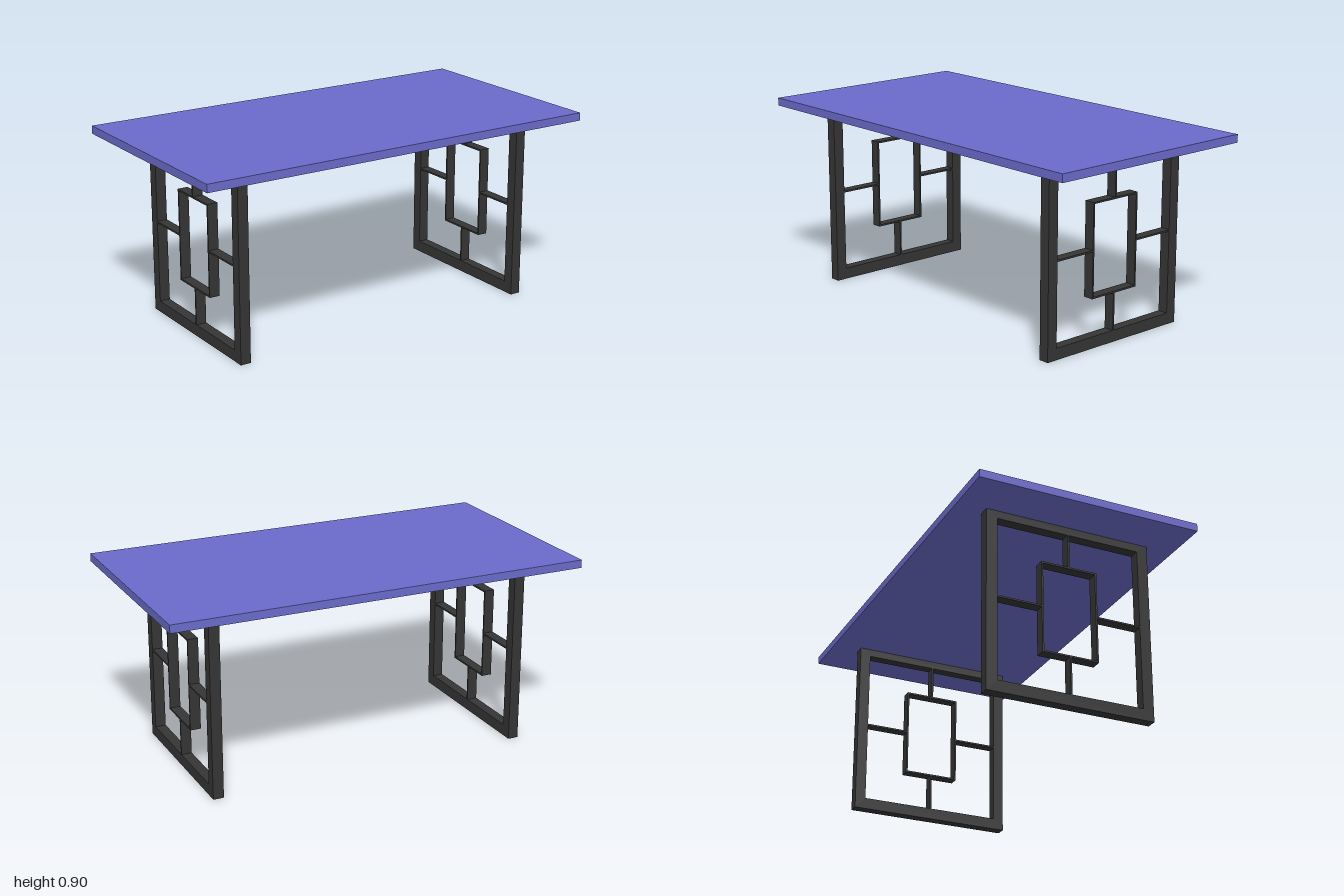
import * as THREE from 'three';

const topPaint = new THREE.MeshStandardMaterial({ color: 0x6b6bcb });
topPaint.name = 'violet top';
const legPaint = new THREE.MeshStandardMaterial({ color: 0x353535 });
legPaint.name = 'charcoal metal';

const DEPTH = 0.05; // thickness of the leg panels along x

// Box given by its z and y limits, as deep as the leg panel
function bar(name, z0, z1, y0, y1) {
  const mesh = new THREE.Mesh(new THREE.BoxGeometry(DEPTH, y1 - y0, z1 - z0), legPaint);
  mesh.position.set(0, (y0 + y1) / 2, (z0 + z1) / 2);
  mesh.name = name;
  return mesh;
}

// Rectangular ring in the z-y plane, extruded along x
function ring(name, halfOut, y0, y1, halfIn, in0, in1) {
  const rect = (path, h, a, b) =>
    path.moveTo(-h, a).lineTo(h, a).lineTo(h, b).lineTo(-h, b).closePath();
  const shape = new THREE.Shape();
  const hole = new THREE.Path();
  rect(shape, halfOut, y0, y1);
  rect(hole, halfIn, in0, in1);
  shape.holes.push(hole);
  const geo = new THREE.ExtrudeGeometry(shape, { depth: DEPTH, bevelEnabled: false });
  geo.translate(0, 0, -DEPTH / 2).rotateY(Math.PI / 2);
  const mesh = new THREE.Mesh(geo, legPaint);
  mesh.name = name;
  return mesh;
}

function legPanel(name, x) {
  const panel = new THREE.Group();
  panel.name = name;
  panel.position.x = x;
  panel.add(
    ring('outerFrame', 0.398, 0, 0.861, 0.346, 0.054, 0.824),
    ring('innerFrame', 0.135, 0.228, 0.664, 0.127, 0.236, 0.656),
    // thin spokes joining the two frames
    bar('lowerSpoke', -0.004, 0.004, 0.054, 0.228),
    bar('upperSpoke', -0.004, 0.004, 0.664, 0.824),
    bar('frontSpoke', 0.135, 0.346, 0.442, 0.45),
    bar('backSpoke', -0.346, -0.135, 0.442, 0.45),
  );
  return panel;
}

export function createModel() {
  const table = new THREE.Group();
  table.name = 'table';

  const top = new THREE.Mesh(new THREE.BoxGeometry(2, 0.038, 1.065), topPaint);
  top.name = 'tableTop';
  top.position.y = 0.88;
  table.add(top);

  table.add(legPanel('leftLegPanel', 0.756), legPanel('rightLegPanel', -0.756));
  return table;
}
